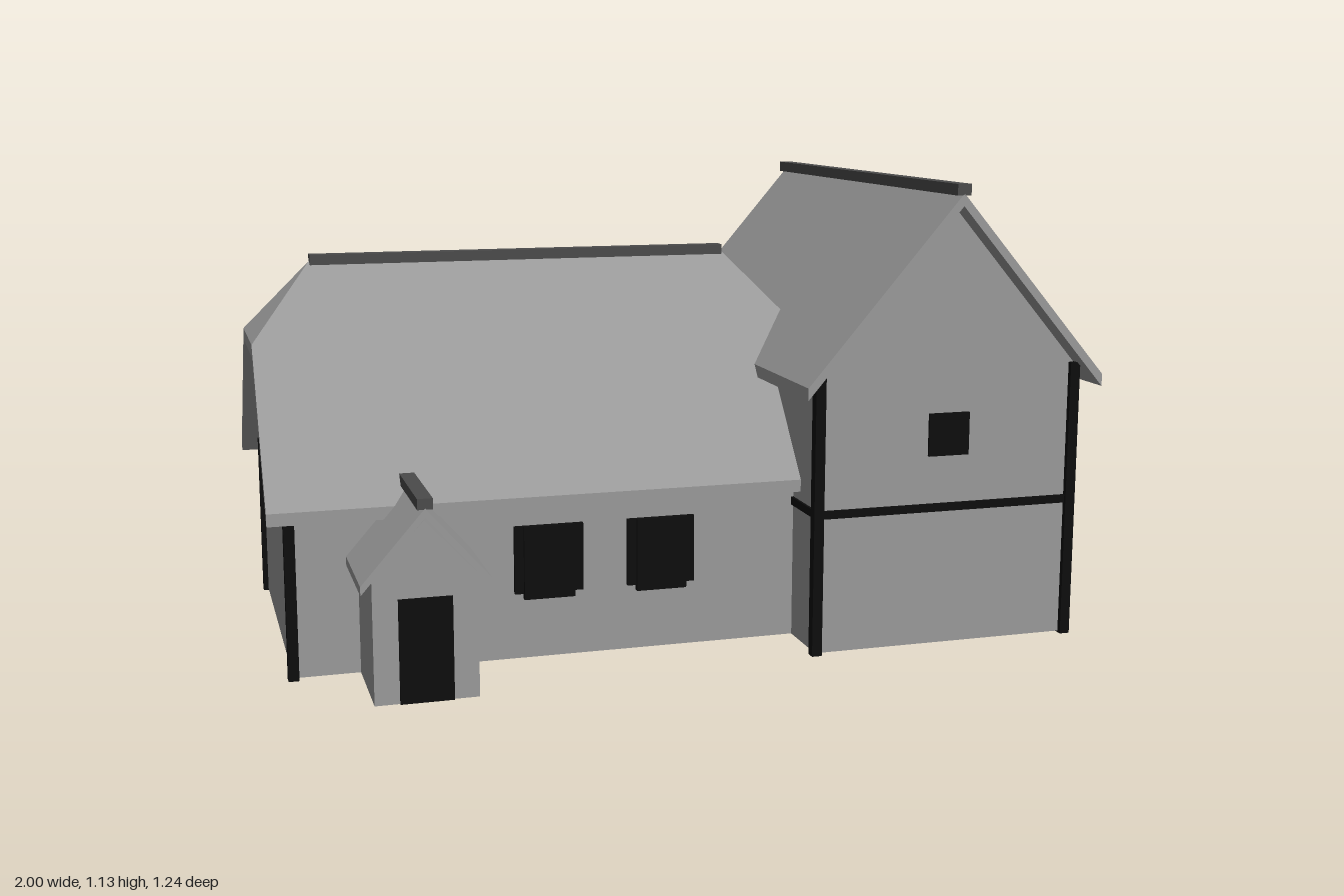
import * as THREE from 'three';

const plaster = new THREE.MeshStandardMaterial({ color: 0x999999 });
plaster.name = 'plaster and roof grey';
const ridgeMat = new THREE.MeshStandardMaterial({ color: 0x4b4b4b });
ridgeMat.name = 'ridge dark grey';
const timber = new THREE.MeshStandardMaterial({ color: 0x0d0d0d });
timber.name = 'timber black';

function add(parent, name, geometry, material) {
  const mesh = new THREE.Mesh(geometry, material);
  mesh.name = name;
  parent.add(mesh);
  return mesh;
}

// Box given by its minimum and maximum on each axis
function box(parent, name, material, x0, x1, y0, y1, z0, z1) {
  const mesh = add(parent, name, new THREE.BoxGeometry(x1 - x0, y1 - y0, z1 - z0), material);
  mesh.position.set((x0 + x1) / 2, (y0 + y1) / 2, (z0 + z1) / 2);
  return mesh;
}

// Solid walls: a gable outline pushed along one axis
function prism(outline, depth) {
  const shape = new THREE.Shape(outline.map(([a, b]) => new THREE.Vector2(a, b)));
  return new THREE.ExtrudeGeometry(shape, { depth, bevelEnabled: false });
}

// Roof slab: convex flat panels, each thickened straight downwards
function roofSlab(panels, thickness) {
  const pos = [];
  const face = (pts) => {
    for (let i = 1; i < pts.length - 1; i++) {
      for (const p of [pts[0], pts[i], pts[i + 1]]) pos.push(p.x, p.y, p.z);
    }
  };
  for (const panel of panels) {
    let top = panel.map((p) => new THREE.Vector3(...p));
    const normal = top[1].clone().sub(top[0]).cross(top[2].clone().sub(top[0]));
    if (normal.y < 0) top = top.reverse();
    const low = top.map((p) => new THREE.Vector3(p.x, p.y - thickness, p.z));
    face(top);
    face([...low].reverse());
    top.forEach((p, i) => {
      const j = (i + 1) % top.length;
      face([p, low[i], low[j], top[j]]);
    });
  }
  const geometry = new THREE.BufferGeometry();
  geometry.setAttribute('position', new THREE.Float32BufferAttribute(pos, 3));
  geometry.computeVertexNormals();
  return geometry;
}

// Plain gable roof with its ridge along z
function gableRoof(x0, x1, eave, apex, z0, z1, thickness) {
  const mid = (x0 + x1) / 2;
  return roofSlab([x0, x1].map((x) =>
    [[x, eave, z0], [x, eave, z1], [mid, apex, z1], [mid, apex, z0]]), thickness);
}

function corners(parent, xs, zs, top) {
  const r = 0.0125;
  for (const x of xs) for (const z of zs) {
    box(parent, 'cornerPost', timber, x - r, x + r, 0, top, z - r, z + r);
  }
}

function createWing() {
  const g = new THREE.Group();
  g.name = 'tallWing';
  const walls = add(g, 'wingWalls', prism(
    [[0.282, 0.004], [0.948, 0.004], [0.948, 0.69], [0.6175, 1.075], [0.282, 0.69]], 1.095), plaster);
  walls.position.z = -0.572;
  add(g, 'wingRoof', gableRoof(0.235, 1, 0.665, 1.11, -0.622, 0.572, 0.03), plaster);
  box(g, 'wingRidge', ridgeMat, 0.6, 0.635, 1.105, 1.132, -0.622, 0.572);
  corners(g, [0.282, 0.948], [-0.572, 0.523], 0.69);
  box(g, 'floorBeam', timber, 0.276, 0.954, 0.337, 0.357, -0.578, 0.529);
  box(g, 'frontWindow', timber, 0.565, 0.67, 0.475, 0.58, 0.52, 0.53);
  for (const z of [0.25, -0.3]) for (const y of [0.195, 0.525]) {
    box(g, 'sideWindow', timber, 0.945, 0.955, y - 0.045, y + 0.045, z - 0.045, z + 0.045);
  }
  return g;
}

function createHall() {
  const g = new THREE.Group();
  g.name = 'longHall';
  // Gable outline clipped flat below the small hips; drawn in (-z, y)
  const walls = add(g, 'hallWalls', prism(
    [[-0.36, 0.004], [0.42, 0.004], [0.42, 0.437], [0.135, 0.777], [-0.075, 0.777], [-0.36, 0.437]],
    1.238), plaster);
  walls.rotation.y = Math.PI / 2;
  walls.position.x = -0.948;

  // Half-hipped roof
  const mid = -0.03, eave = 0.41, apex = 0.935, hipY = 0.7535;
  const x0 = -1, x1 = 0.37, r0 = -0.845, r1 = 0.215;
  const panels = [-1, 1].map((s) => {
    const out = mid + s * 0.44, hip = mid + s * 0.152;
    return [[x0, eave, out], [x1, eave, out], [x1, hipY, hip],
      [r1, apex, mid], [r0, apex, mid], [x0, hipY, hip]];
  });
  for (const [x, r] of [[x0, r0], [x1, r1]]) {
    panels.push([[x, hipY, mid - 0.152], [x, hipY, mid + 0.152], [r, apex, mid]]);
  }
  add(g, 'hallRoof', roofSlab(panels, 0.03), plaster);
  box(g, 'hallRidge', ridgeMat, r0, r1, 0.925, 0.95, mid - 0.018, mid + 0.018);
  corners(g, [-0.948], [-0.42, 0.36], 0.42);

  // Shuttered windows: wide shutters behind a projecting middle
  for (const [x, z, s] of [[-0.34, 0.36, 1], [-0.062, 0.36, 1], [-0.45, -0.42, -1]]) {
    const w = new THREE.Group();
    w.name = 'shutteredWindow';
    box(w, 'shutters', timber, -0.084, 0.084, 0.165, 0.33, -0.005, 0.01);
    box(w, 'casement', timber, -0.062, 0.062, 0.152, 0.33, -0.005, 0.018);
    w.position.set(x, 0, z);
    if (s < 0) w.rotation.y = Math.PI;
    g.add(w);
  }
  return g;
}

function createPorch() {
  const g = new THREE.Group();
  g.name = 'porch';
  const walls = add(g, 'porchWalls', prism(
    [[-0.792, 0.004], [-0.555, 0.004], [-0.555, 0.292], [-0.6735, 0.42], [-0.792, 0.292]], 0.25), plaster);
  walls.position.z = 0.35;
  add(g, 'porchRoof', gableRoof(-0.819, -0.528, 0.286, 0.452, 0.355, 0.622, 0.021), plaster);
  box(g, 'porchRidge', ridgeMat, -0.691, -0.656, 0.449, 0.474, 0.355, 0.622);
  box(g, 'door', timber, -0.735, -0.613, 0.004, 0.245, 0.598, 0.606);
  return g;
}

export function createModel() {
  const house = new THREE.Group();
  house.name = 'house';
  house.add(createWing(), createHall(), createPorch());
  return house;
}
